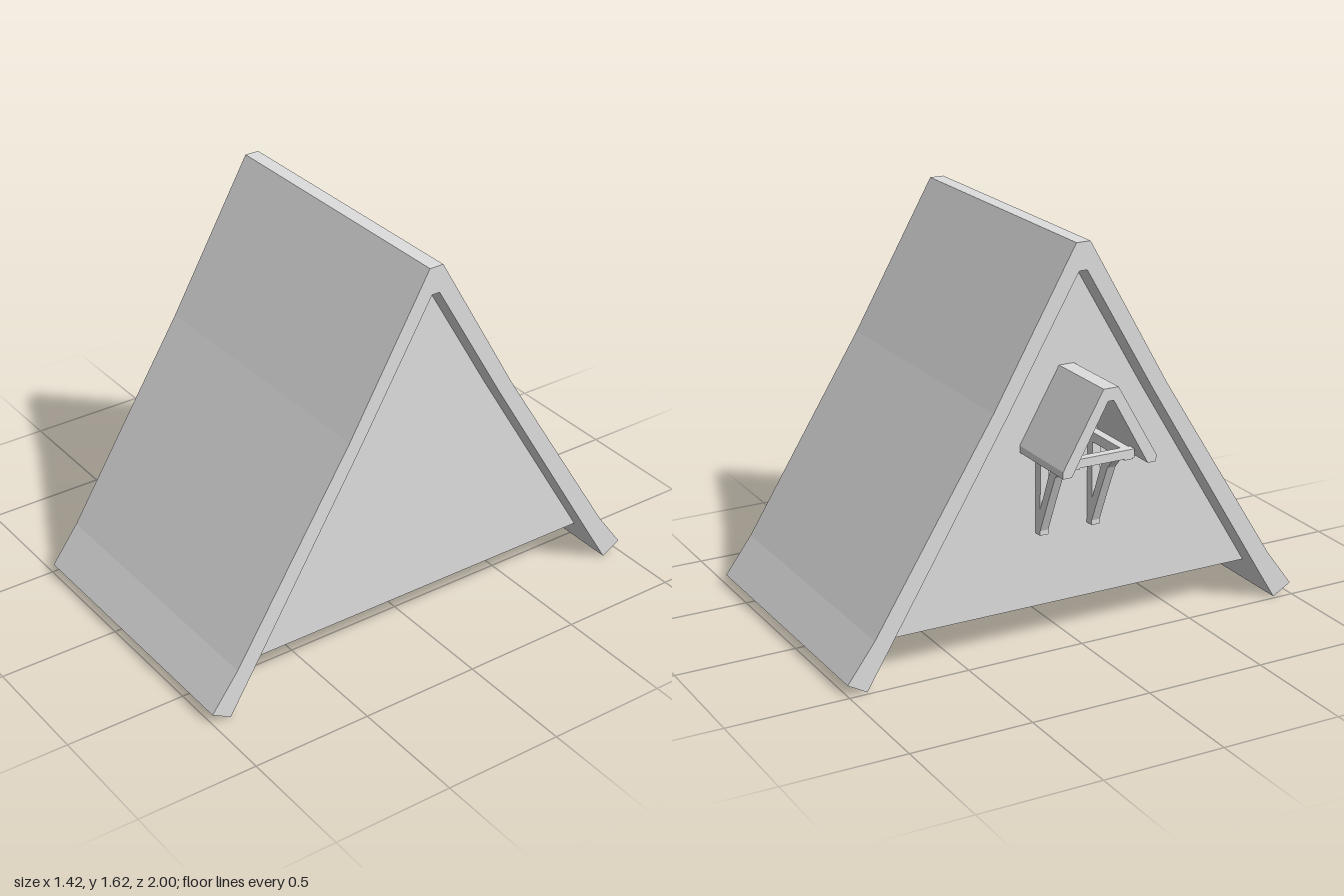
import * as THREE from 'three';

const grey = new THREE.MeshStandardMaterial({ color: 0xdddddd });
grey.name = 'light grey';

// Closed outline, mirrored across z = 0, from half of its points [z, y]
function mirrored(outer, inner = []) {
  const flip = (pts) => pts.map(([a, b]) => [-a, b]).reverse();
  return [...outer, ...inner, ...flip(inner), ...flip(outer)];
}

function extrude(points, depth) {
  const shape = new THREE.Shape(points.map(([a, b]) => new THREE.Vector2(a, b)));
  return new THREE.ExtrudeGeometry(shape, { depth, bevelEnabled: false });
}

// Symmetric z-y profile swept along x
function alongX(name, points, x0, x1) {
  const mesh = new THREE.Mesh(extrude(points, x1 - x0).rotateY(Math.PI / 2), grey);
  mesh.position.x = x0;
  mesh.name = name;
  return mesh;
}

function box(name, x0, x1, y0, y1, z0, z1) {
  const mesh = new THREE.Mesh(new THREE.BoxGeometry(x1 - x0, y1 - y0, z1 - z0), grey);
  mesh.position.set((x0 + x1) / 2, (y0 + y1) / 2, (z0 + z1) / 2);
  mesh.name = name;
  return mesh;
}

export function createModel() {
  const model = new THREE.Group();
  model.name = 'gableRoof';

  // Main roof: a thick folded slab, open underneath
  const outer = [[0.03, 1.62], [0.38, 1.01], [0.885, 0.2], [1, 0.045]];
  const inner = [[0.92, 0], [0.83, 0.147], [0.32, 0.99], [0.017, 1.51]];
  model.add(alongX('roof', mirrored(outer, inner), -0.485, 0.71));

  // Recessed gable walls
  const gable = mirrored([[0.017, 1.51], [0.32, 0.99], [0.83, 0.147]]);
  model.add(alongX('leftGable', gable, 0.61, 0.62));
  model.add(alongX('rightGable', gable, -0.385, -0.375));

  // Small hood on the right gable
  const wall = -0.385;
  const hood = new THREE.Group();
  hood.name = 'hood';
  hood.position.z = -0.012;
  hood.add(alongX('hoodRoof', mirrored(
    [[0.032, 1.12], [0.202, 0.825], [0.202, 0.797]],
    [[0.165, 0.797], [0.012, 1.07]]), -0.715, wall));

  // Bracket on each side: wall post, beam and curved brace
  const brace = [[-0.6, 0.8], [-0.535, 0.73], [-0.485, 0.62], [-0.42, 0.47],
    [-0.42, 0.56], [-0.485, 0.72], [-0.505, 0.76], [-0.545, 0.8]];
  for (const s of [-1, 1]) {
    const z0 = s * 0.115 - 0.018, z1 = s * 0.115 + 0.018;
    hood.add(box('post', -0.422, wall, 0.455, 0.84, z0, z1));
    hood.add(box('beam', -0.66, wall, 0.8, 0.84, z0, z1));
    const arm = new THREE.Mesh(extrude(brace, 0.036), grey);
    arm.position.z = z0;
    arm.name = 'brace';
    hood.add(arm);
  }
  // Cross tie between the beams
  hood.add(box('crossTie', -0.66, -0.625, 0.805, 0.84, -0.14, 0.14));
  model.add(hood);
  return model;
}
